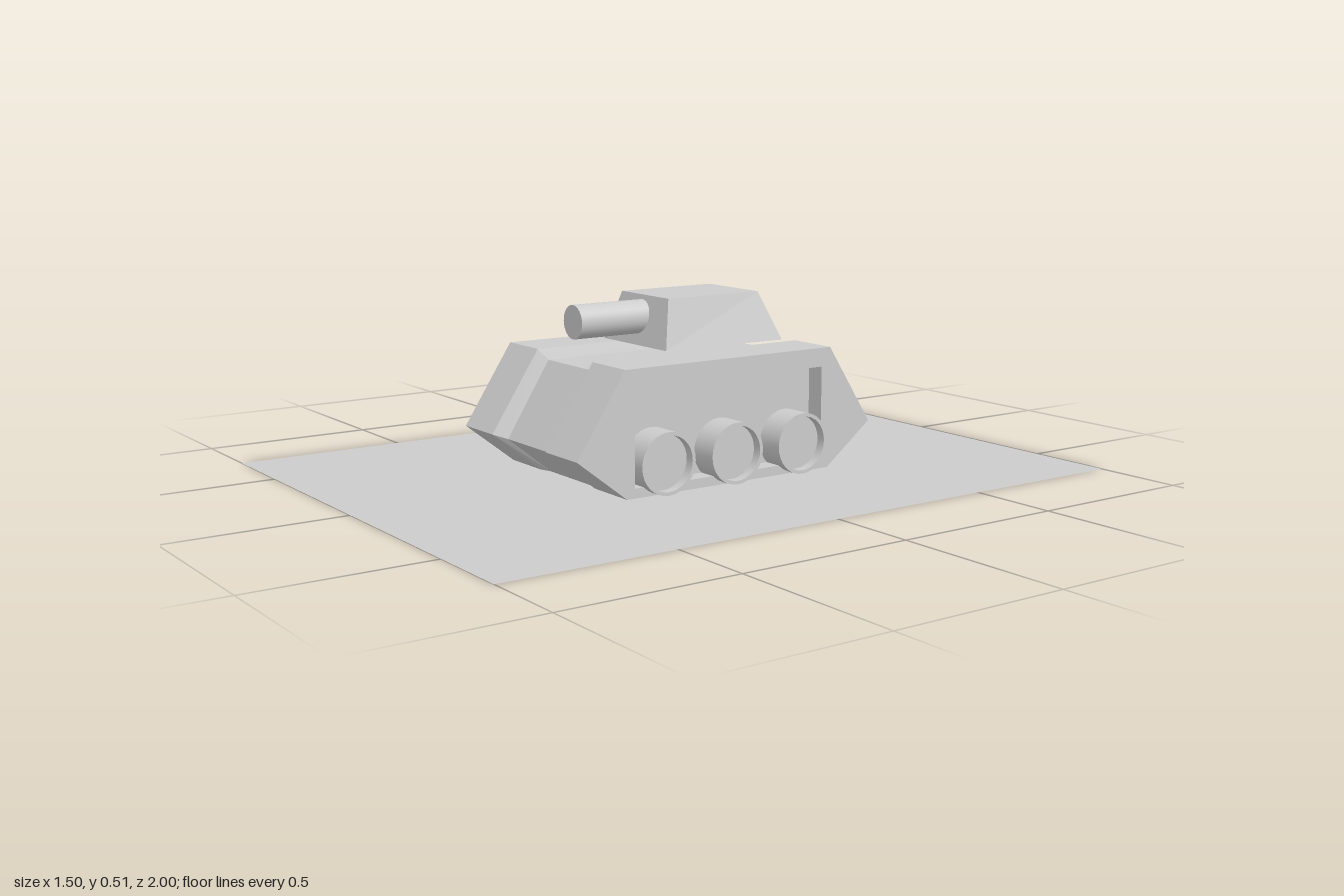
import * as THREE from 'three';
import { toCreasedNormals } from 'three/addons/utils/BufferGeometryUtils.js';

const flat = new THREE.MeshStandardMaterial({ color: 0xcccccc, flatShading: true });
const smooth = new THREE.MeshStandardMaterial({ color: 0xcccccc });
const thin = new THREE.MeshStandardMaterial({ color: 0xcccccc, side: THREE.DoubleSide });

function add(parent, name, geometry, material) {
  const mesh = new THREE.Mesh(geometry, material);
  mesh.name = name;
  parent.add(mesh);
  return mesh;
}

// Six-sided side profile as [z, y], from top front, down the front and round the back
function hullProfile(topZ, topY, tipZ, tipY, bottomZ, bottomY) {
  const front = [[topZ, topY], [tipZ, tipY], [bottomZ, bottomY]];
  return [...front, ...front.map(([z, y]) => [-z, y]).reverse()];
}

// Skin between profiles placed along x, closed at both ends
function loft(sections) {
  const pos = [];
  const n = sections[0].profile.length;
  const at = (s, i) => {
    const [z, y] = s.profile[i % n];
    return [s.x, y, z];
  };
  for (let k = 0; k < sections.length - 1; k++) {
    const a = sections[k], b = sections[k + 1];
    for (let i = 0; i < n; i++) {
      pos.push(...at(a, i), ...at(a, i + 1), ...at(b, i + 1));
      pos.push(...at(a, i), ...at(b, i + 1), ...at(b, i));
    }
  }
  const first = sections[0], last = sections[sections.length - 1];
  for (let i = 1; i < n - 1; i++) {
    pos.push(...at(last, 0), ...at(last, i), ...at(last, i + 1));
    pos.push(...at(first, 0), ...at(first, i + 1), ...at(first, i));
  }
  const geometry = new THREE.BufferGeometry();
  geometry.setAttribute('position', new THREE.Float32BufferAttribute(pos, 3));
  geometry.computeVertexNormals();
  return geometry;
}

export function createModel() {
  const model = new THREE.Group();
  model.name = 'tank';

  // Ground sheet
  add(model, 'groundSheet', new THREE.PlaneGeometry(1.5, 2).rotateX(-Math.PI / 2), thin);

  // Hull: two tall sides with a sunken middle
  const side = hullProfile(0.35, 0.357, 0.5, 0.128, 0.345, 0.008);
  const middle = hullProfile(0.322, 0.325, 0.457, 0.112, 0.32, 0.002);
  add(model, 'hull', loft([
    { x: -0.245, profile: side }, { x: -0.145, profile: side },
    { x: -0.133, profile: middle }, { x: 0.13, profile: middle },
    { x: 0.142, profile: side }, { x: 0.245, profile: side },
  ]), flat);

  // Side frames around the wheel recesses
  const frame = new THREE.Shape(side.map(([z, y]) => new THREE.Vector2(z, y)));
  frame.holes.push(new THREE.Path([
    new THREE.Vector2(-0.32, 0.035), new THREE.Vector2(0.32, 0.035),
    new THREE.Vector2(0.32, 0.303), new THREE.Vector2(-0.32, 0.303),
  ]));
  const frameGeometry = new THREE.ExtrudeGeometry(frame, { depth: 0.055, bevelEnabled: false })
    .rotateY(Math.PI / 2);

  // Dished wheel, its axis along +x
  const wheelProfile = [[0, 0], [0.087, 0], [0.087, 0.088], [0.077, 0.088], [0.077, 0.06], [0, 0.06]]
    .map(([r, h]) => new THREE.Vector2(r, h));
  const wheelGeometry = toCreasedNormals(new THREE.LatheGeometry(wheelProfile, 32), 0.7)
    .rotateZ(-Math.PI / 2);

  for (const s of [1, -1]) {
    const label = s > 0 ? 'left' : 'right';
    add(model, label + 'SideFrame', frameGeometry, flat).position.x = s > 0 ? 0.245 : -0.3;
    [0.23, 0, -0.23].forEach((z, i) => {
      const wheel = add(model, label + 'Wheel' + (i + 1), wheelGeometry, smooth);
      wheel.position.set(s * 0.242, 0.096, z);
      if (s < 0) wheel.rotation.y = Math.PI;
    });
  }

  // Turret: box with sloping walls
  const turret = new THREE.BoxGeometry(1, 1, 1);
  const p = turret.attributes.position;
  for (let i = 0; i < p.count; i++) {
    const top = p.getY(i) > 0, left = p.getX(i) > 0, front = p.getZ(i) > 0;
    const x = left ? (top ? 0.112 : front ? 0.147 : 0.158) : (top ? -0.12 : -0.167);
    const z = front ? (top ? 0.08 : 0.112) : (top ? -0.234 : -0.288);
    p.setXYZ(i, x, top ? 0.506 : 0.366, z);
  }
  turret.computeVertexNormals();
  add(model, 'turret', turret, flat);

  // Gun barrel
  const barrel = new THREE.CylinderGeometry(0.048, 0.048, 0.245, 32).rotateX(Math.PI / 2);
  add(model, 'gunBarrel', barrel, smooth).position.set(-0.012, 0.445, 0.1925);

  return model;
}
